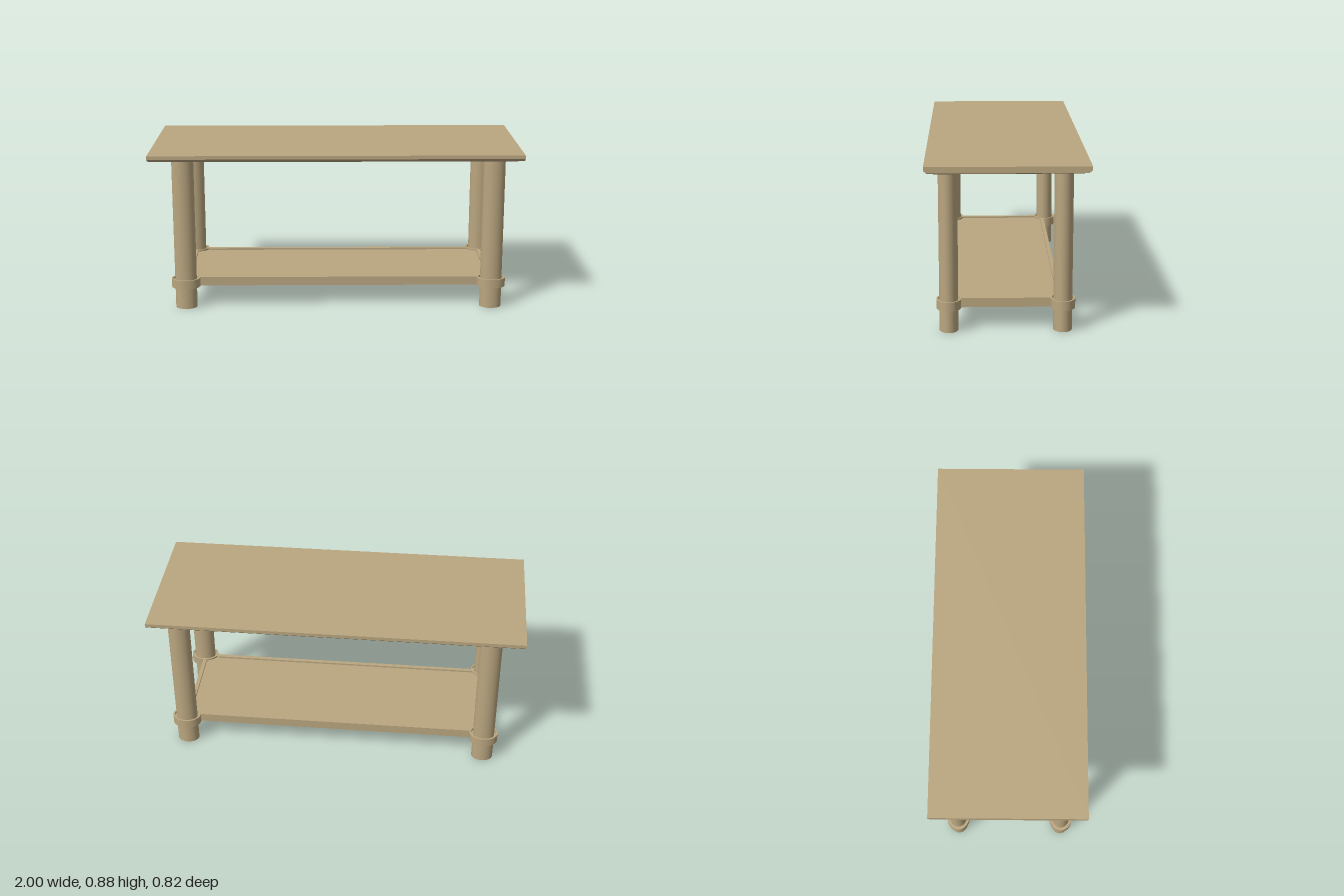
import * as THREE from 'three';

const wood = new THREE.MeshStandardMaterial({ color: 0xbaa680 });
const openWood = new THREE.MeshStandardMaterial({ color: 0xbaa680, side: THREE.DoubleSide });

function add(parent, name, geometry, x = 0, y = 0, z = 0, material = wood) {
  const mesh = new THREE.Mesh(geometry, material);
  mesh.name = name;
  mesh.position.set(x, y, z);
  parent.add(mesh);
  return mesh;
}

// Solid stacked from rectangles [y, halfX, halfZ], bottom to top, with flat faces
function rectLoft(sections) {
  const rings = sections.map(([y, a, b]) => [[-a, y, b], [a, y, b], [a, y, -b], [-a, y, -b]]);
  const pos = [];
  const quad = (a, b, c, d) => pos.push(...a, ...b, ...c, ...a, ...c, ...d);
  for (let i = 0; i + 1 < rings.length; i++) {
    for (let k = 0; k < 4; k++) {
      const n = (k + 1) % 4;
      quad(rings[i][k], rings[i][n], rings[i + 1][n], rings[i + 1][k]);
    }
  }
  const low = rings[0], high = rings[rings.length - 1];
  quad(low[3], low[2], low[1], low[0]);
  quad(high[0], high[1], high[2], high[3]);
  const g = new THREE.BufferGeometry();
  g.setAttribute('position', new THREE.Float32BufferAttribute(pos, 3));
  g.computeVertexNormals();
  return g;
}

// Upright oval post between two heights
function ovalPost(rx, rz, y0, y1, open) {
  return new THREE.CylinderGeometry(1, 1, y1 - y0, 40, 1, open)
    .scale(rx, 1, rz).translate(0, (y0 + y1) / 2, 0);
}

// Upright oval ring with a wall of the given thickness
function ovalRing(rx, rz, wall, y0, y1) {
  const shape = new THREE.Shape().absellipse(0, 0, rx, rz, 0, Math.PI * 2);
  shape.holes.push(new THREE.Path().absellipse(0, 0, rx - wall, rz - wall, 0, Math.PI * 2, true));
  return new THREE.ExtrudeGeometry(shape, { depth: y1 - y0, bevelEnabled: false, curveSegments: 40 })
    .rotateX(-Math.PI / 2).translate(0, y0, 0);
}

export function createModel() {
  const table = new THREE.Group();
  table.name = 'table';

  // Top with undercut edges
  add(table, 'tableTop', rectLoft([
    [0.831, 0.96, 0.357], [0.843, 1, 0.395], [0.856, 1, 0.41], [0.875, 1, 0.41],
  ]));

  // Base sits slightly off the centre of the top
  const base = new THREE.Group();
  base.name = 'base';
  base.position.set(0.014, 0, 0.0065);
  table.add(base);

  const legX = 0.839, legZ = 0.289;
  const shelfLow = 0.118, shelfHigh = 0.166, shelfMid = (shelfLow + shelfHigh) / 2;
  const panelLow = 0.146, panelHigh = 0.156;
  const collarX = 0.078, collarZ = 0.063, wall = 0.009;

  // Hollow oval legs, each in a collar ring closed by a floor at panel height
  for (const sx of [-1, 1]) {
    for (const sz of [-1, 1]) {
      const x = sx * legX, z = sz * legZ;
      add(base, 'leg', ovalPost(0.059, 0.048, 0, 0.832, true), x, 0, z, openWood);
      add(base, 'legCollar', ovalRing(collarX, collarZ, wall, shelfLow, shelfHigh), x, 0, z);
      add(base, 'collarFloor', ovalPost(collarX - wall / 2, collarZ - wall / 2, panelLow, panelHigh, false), x, 0, z);
    }
  }

  // Shelf rails ending in the collar walls
  const railWidth = 0.022;
  const outX = legX + 0.003, outZ = legZ - 0.006;
  const longRail = new THREE.BoxGeometry((legX - collarX + wall / 2) * 2, shelfHigh - shelfLow, railWidth);
  const endRail = new THREE.BoxGeometry(railWidth, shelfHigh - shelfLow, (legZ - collarZ + wall / 2) * 2);
  for (const s of [-1, 1]) {
    add(base, 'longRail', longRail, 0, shelfMid, s * (outZ - railWidth / 2));
    add(base, 'endRail', endRail, s * (outX - railWidth / 2), shelfMid, 0);
  }

  // Thin shelf panel, set just below the top of the rails
  add(base, 'shelfPanel',
    new THREE.BoxGeometry((outX - railWidth / 2) * 2, panelHigh - panelLow, (outZ - railWidth / 2) * 2),
    0, (panelLow + panelHigh) / 2, 0);

  return table;
}
